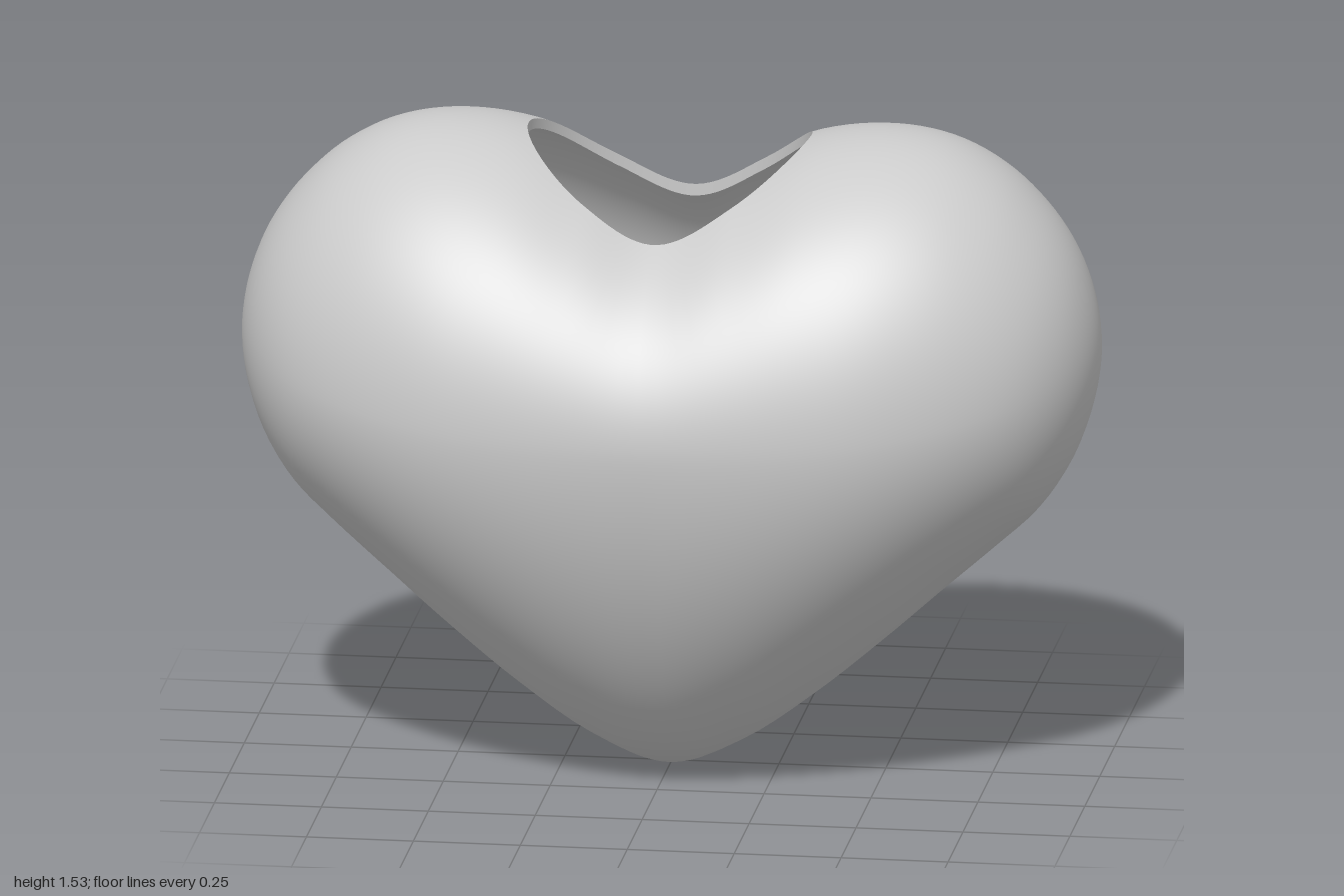
import * as THREE from 'three';
import { mergeVertices } from 'three/addons/utils/BufferGeometryUtils.js';

// Heart outline height every 10 degrees, from the top notch (x = 0) round the side to the tip; x = sin(angle)
const OUTLINE = [1.385, 1.45, 1.515, 1.535, 1.515, 1.455, 1.365, 1.26, 1.14, 1.02,
  0.9, 0.77, 0.655, 0.56, 0.45, 0.32, 0.185, 0.065, 0];
// Half depth in z for the same angles, down to the side
const DEPTH = [0.6, 0.597, 0.585, 0.558, 0.508, 0.44, 0.355, 0.25, 0.13, 0];

const HOLE = { x: -0.01, z: -0.04, r: 0.33 };
const INNER = 0.96;   // scale of the inside wall
const CENTRE_Y = 0.82;
const SEG = 128, ROWS = 72;

// Smooth lookup in a table of 10 degree steps
function sample(get, angle) {
  const f = angle / (Math.PI / 18), i = Math.floor(f), t = f - i;
  const [a, b, c, d] = [get(i - 1), get(i), get(i + 1), get(i + 2)];
  return b + 0.5 * t * (c - a + t * (2 * a - 5 * b + 4 * c - d + t * (3 * (b - c) + d - a)));
}
const outlineAt = (angle) => sample((i) => {
  const j = Math.abs(i);
  return OUTLINE[j > 18 ? 36 - j : j];
}, angle);
const depthAt = (angle) => sample((i) => {
  const j = Math.abs(i);
  return j > 9 ? -DEPTH[18 - j] : DEPTH[j];
}, angle);

// Height of the upper or lower half of the heart over a point (x, z)
function height(x, z, upper) {
  const ax = Math.min(1, Math.abs(x)), angle = Math.asin(ax);
  const waist = 0.9 + 0.12 * ax * ax;
  const r = Math.min(1, Math.abs(z) / Math.max(1e-6, depthAt(angle)));
  const p = upper ? 2 : 1.65 + 0.35 * ax;
  const edge = outlineAt(upper ? angle : Math.PI - angle);
  return waist + (edge - waist) * Math.pow(Math.max(0, 1 - Math.pow(r, p)), 1 / p);
}

// Point on a wall: t = 0 at the tip, 0.5 on the widest line, 1 on the rim of the opening
function wallPoint(scale, t, turn) {
  const sx = Math.sin(turn), cz = Math.cos(turn);
  const side = Math.asin(Math.min(1, Math.abs(sx)));
  const ox = sx, oz = Math.sign(cz) * Math.max(0, depthAt(side));
  const upper = t > 0.5;
  const s = Math.sin(Math.PI * (upper ? 1 - t : t));
  const ix = upper ? (HOLE.x + HOLE.r * sx) / scale : 0;
  const iz = upper ? (HOLE.z + HOLE.r * cz) / scale : 0;
  const x = ix + (ox - ix) * s, z = iz + (oz - iz) * s;
  const y = height(x, z, upper);
  return [x * scale, CENTRE_Y + (y - CENTRE_Y) * scale, z * scale];
}

// Surface through rows of closed rings
function rings(rows, point) {
  const pos = [], index = [];
  for (let i = 0; i <= rows; i++)
    for (let j = 0; j < SEG; j++) pos.push(...point(i / rows, (j / SEG) * Math.PI * 2));
  for (let i = 0; i < rows; i++)
    for (let j = 0; j < SEG; j++) {
      const a = i * SEG + j, b = i * SEG + (j + 1) % SEG;
      index.push(a, b, b + SEG, a, b + SEG, a + SEG);
    }
  let geo = new THREE.BufferGeometry();
  geo.setAttribute('position', new THREE.Float32BufferAttribute(pos, 3));
  geo.setIndex(index);
  geo = mergeVertices(geo, 1e-5);
  geo.computeVertexNormals();
  return geo;
}

export function createModel() {
  const group = new THREE.Group();
  group.name = 'heartVase';
  const material = new THREE.MeshStandardMaterial({ color: 0xcccccc });
  const add = (name, geometry) => {
    const mesh = new THREE.Mesh(geometry, material);
    mesh.name = name;
    group.add(mesh);
  };

  add('outerWall', rings(ROWS, (t, turn) => wallPoint(1, t, turn)));
  add('innerWall', rings(ROWS, (t, turn) => wallPoint(INNER, 1 - t, turn)));
  // Straight cut edge of the round opening
  add('openingRim', rings(1, (t, turn) => wallPoint(t ? INNER : 1, 1, turn)));
  return group;
}
